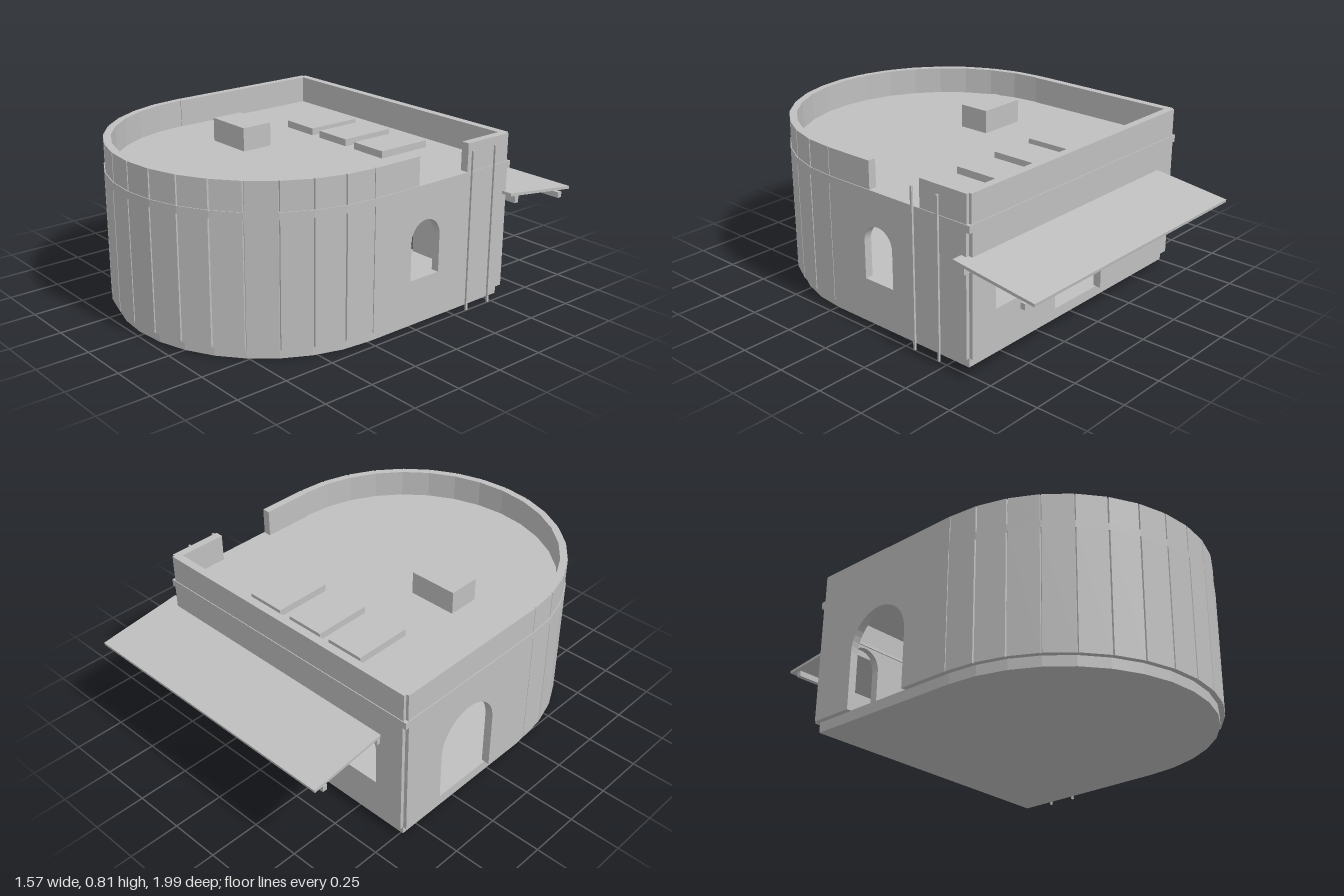
import * as THREE from 'three';

const CX = -0.03, CZ = 0.24, R = 0.755, BACK = -0.61, T = 0.04, SEG = 16;

export function createModel() {
  const model = new THREE.Group();
  model.name = 'roundFrontedBuilding';
  const grey = new THREE.MeshStandardMaterial({ color: 0xbfbfbf });
  grey.name = 'plain grey';

  const add = (name, geometry, parent = model) => {
    const mesh = new THREE.Mesh(geometry, grey);
    mesh.name = name;
    parent.add(mesh);
    return mesh;
  };

  // Box given by its limits on each axis
  const box = (name, x0, x1, y0, y1, z0, z1) => {
    const mesh = add(name, new THREE.BoxGeometry(x1 - x0, y1 - y0, z1 - z0));
    mesh.position.set((x0 + x1) / 2, (y0 + y1) / 2, (z0 + z1) / 2);
    return mesh;
  };

  // Raises a plan drawn in x and z between two heights
  const raise = (name, points, y0, y1) => {
    const geometry = new THREE.ExtrudeGeometry(new THREE.Shape(points), { depth: y1 - y0, bevelEnabled: false });
    geometry.rotateX(Math.PI / 2).translate(0, y1, 0);
    return add(name, geometry);
  };

  const arcPoint = (i, r) => {
    const a = (i / SEG) * Math.PI;
    return new THREE.Vector2(CX + r * Math.cos(a), CZ + r * Math.sin(a));
  };
  const arc = (r) => Array.from({ length: SEG + 1 }, (_, i) => arcPoint(i, r));

  // Full floor plan: a rectangle with a half round front
  const floorPlan = (inset) => [
    new THREE.Vector2(CX - R + inset, BACK + inset),
    new THREE.Vector2(CX + R - inset, BACK + inset),
    ...arc(R - inset),
  ];

  // Half round wall, with a narrow groove at each panel joint
  const curvedWall = (name, inset, y0, y1) => {
    const r = R - inset, points = [];
    for (let i = 0; i <= SEG; i++) {
      const v = arcPoint(i, r);
      if (i > 0) points.push(v.clone().lerp(arcPoint(i - 1, r), 0.025));
      points.push(arcPoint(i, r - 0.01));
      if (i < SEG) points.push(v.clone().lerp(arcPoint(i + 1, r), 0.025));
    }
    points.push(...arc(R - T).reverse());
    raise(name, points, y0, y1);
  };

  // Flat wall whose outer face looks along local +z; doors reach its foot, windows are holes
  const flatWall = (name, u0, u1, y0, y1, { doors = [], windows = [] } = {}) => {
    const shape = new THREE.Shape();
    shape.moveTo(u0, y0);
    for (const u of doors) {
      shape.lineTo(u - 0.175, y0);
      shape.lineTo(u - 0.175, 0.335);
      shape.absarc(u, 0.335, 0.175, Math.PI, 0, true);
      shape.lineTo(u + 0.175, y0);
    }
    shape.lineTo(u1, y0);
    shape.lineTo(u1, y1);
    shape.lineTo(u0, y1);
    shape.closePath();
    for (const u of windows) {
      const hole = new THREE.Path();
      hole.moveTo(u - 0.0875, 0.235);
      hole.lineTo(u - 0.0875, 0.422);
      hole.absarc(u, 0.422, 0.0875, Math.PI, 0, true);
      hole.lineTo(u + 0.0875, 0.235);
      hole.closePath();
      shape.holes.push(hole);
    }
    const geometry = new THREE.ExtrudeGeometry(shape, { depth: T, bevelEnabled: false, curveSegments: 10 });
    geometry.translate(0, 0, -T);
    return add(name, geometry);
  };
  const toBack = (wall, inset = 0) => { wall.rotation.y = Math.PI; wall.position.z = BACK + inset; };
  const toLeft = (wall, inset = 0) => { wall.rotation.y = Math.PI / 2; wall.position.x = CX + R - inset; };
  const toRight = (wall, inset = 0) => { wall.rotation.y = -Math.PI / 2; wall.position.x = CX - R + inset; };

  // Plinth and roof slab
  raise('plinth', floorPlan(0.025), 0, 0.052);
  raise('roofSlab', floorPlan(0), 0.64, 0.675);

  // Main walls, stopping short of the back corners to leave a notch
  const N = 0.018;
  curvedWall('frontWall', 0, 0.05, 0.64);
  toBack(flatWall('backWall', -(CX + R - N), -(CX - R + N), 0.05, 0.64, { doors: [-CX], windows: [-CX - 0.5, -CX + 0.5] }));
  toLeft(flatWall('leftWall', -CZ, -(BACK + N), 0.05, 0.64, { windows: [0.0675] }));
  toRight(flatWall('rightWall', BACK + N, CZ, 0.05, 0.64, { doors: [-0.195] }));

  // Parapet, open on the left side where the ladder arrives
  const P = 0.004;
  curvedWall('frontParapet', P, 0.675, 0.81);
  toBack(flatWall('backParapet', -(CX + R - N), -(CX - R + N), 0.675, 0.81), P);
  toLeft(flatWall('leftParapetFront', -CZ, 0.02, 0.675, 0.81), P);
  toLeft(flatWall('leftParapetBack', 0.325, -(BACK + N), 0.675, 0.81), P);
  toRight(flatWall('rightParapet', BACK + N, CZ, 0.675, 0.81), P);

  // Roof panels and roof box
  for (const x of [-0.283, -0.033, 0.225]) box('roofPanel', x - 0.098, x + 0.098, 0.675, 0.71, -0.46, -0.17);
  box('roofBox', -0.425, -0.18, 0.675, 0.79, 0.1, 0.26);

  // Counter inside
  box('counter', -0.45, 0.1, 0.05, 0.28, -0.16, 0.1);

  // Sloping awning on two beams
  const awning = add('awning', new THREE.BoxGeometry(1.425, 0.014, 0.436));
  awning.position.set(0.0675, 0.5, -0.782);
  awning.rotation.x = -Math.atan2(0.056, 0.436);
  box('awningInnerBeam', -0.64, 0.775, 0.478, 0.512, -0.626, -0.602);
  box('awningOuterBeam', -0.64, 0.775, 0.432, 0.46, -0.948, -0.924);

  // Ladder poles
  for (const z of [-0.317, -0.463]) box('ladderPole', 0.754, 0.764, 0.01, 0.785, z - 0.005, z + 0.005);

  return model;
}
